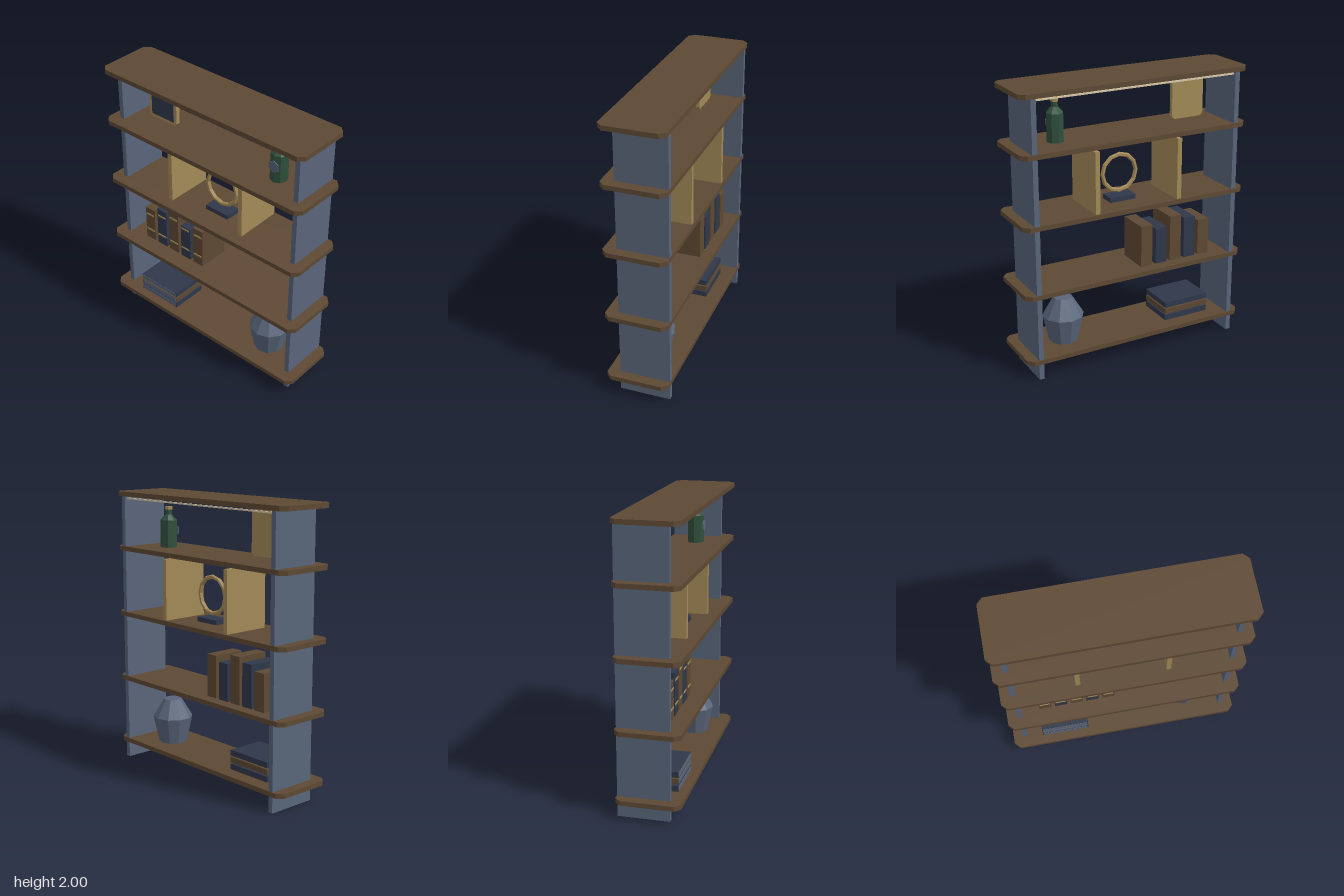
import * as THREE from 'three';

const mat = (name, color) => {
  const m = new THREE.MeshStandardMaterial({ color });
  m.name = name;
  return m;
};

export function createModel() {
  const wood = mat('walnut wood', 0x5e4934);
  const slate = mat('slate blue', 0x59657a);
  const navy = mat('dark navy', 0x2f374a);
  const brass = mat('brass', 0xa38a57);
  const green = mat('bottle green', 0x2f4f3c);
  const cream = mat('warm light', 0xd8c8a8);

  const root = new THREE.Group();
  root.name = 'shelvingUnit';

  const group = (name, parent = root) => {
    const g = new THREE.Group();
    g.name = name;
    parent.add(g);
    return g;
  };
  const add = (name, geo, material, parent = root) => {
    const m = new THREE.Mesh(geo, material);
    m.name = name;
    parent.add(m);
    return m;
  };
  // box given by its limits on each axis
  const box = (name, material, [x0, x1], [y0, y1], [z0, z1], parent) => {
    const m = add(name, new THREE.BoxGeometry(x1 - x0, y1 - y0, z1 - z0), material, parent);
    m.position.set((x0 + x1) / 2, (y0 + y1) / 2, (z0 + z1) / 2);
    return m;
  };
  // rectangle with cut corners, extruded along +z
  const cutSlab = (w, h, cut, depth) => {
    const a = w / 2, b = h / 2;
    const pts = [[a - cut, -b], [a, -b + cut], [a, b - cut], [a - cut, b],
      [-a + cut, b], [-a, b - cut], [-a, -b + cut], [-a + cut, -b]];
    const shape = new THREE.Shape(pts.map(([x, y]) => new THREE.Vector2(x, y)));
    return new THREE.ExtrudeGeometry(shape, { depth, bevelEnabled: false });
  };
  // faceted turned form from [radius, height] points
  const turned = (profile, sides) => {
    const geo = new THREE.LatheGeometry(profile.map(([r, y]) => new THREE.Vector2(r, y)), sides).toNonIndexed();
    geo.computeVertexNormals();
    return geo;
  };

  // shelves with cut corners
  const tops = [2, 1.605, 1.12, 0.63, 0.146];
  const shelves = group('shelves');
  for (const top of tops) {
    const s = add('shelf', cutSlab(1.71, 0.446, 0.04, 0.033), wood, shelves);
    s.rotation.x = -Math.PI / 2;
    s.position.y = top - 0.033;
  }

  // upright side panels
  for (const side of [-1, 1]) {
    const p = box(side > 0 ? 'leftPanel' : 'rightPanel', slate, [-0.018, 0.018], [0, 1.97], [-0.22, 0.14]);
    p.position.x = side * 0.765;
  }

  // light strip under the top shelf
  box('lightStrip', cream, [-0.748, 0.748], [1.946, 1.957], [-0.2, -0.188]);

  // framed picture
  const frame = group('pictureFrame');
  frame.position.set(-0.49, 1.79, -0.02);
  add('frameBoard', cutSlab(0.25, 0.31, 0.02, 0.03), brass, frame);
  box('picturePanel', navy, [-0.1, 0.1], [-0.128, 0.128], [0.03, 0.036], frame);

  // bottle with cap and hexagonal label
  const bottle = group('bottle');
  bottle.position.set(0.52, 1.605, 0);
  add('bottleBody', turned([[0, 0], [0.06, 0], [0.06, 0.195], [0.024, 0.235], [0.024, 0.27], [0, 0.27]], 8), green, bottle);
  const cap = add('bottleCap', turned([[0, 0], [0.027, 0], [0.027, 0.022], [0, 0.022]], 8), brass, bottle);
  cap.position.y = 0.27;
  const label = add('bottleLabel', turned([[0, 0], [0.044, 0], [0.044, 0.006], [0, 0.006]], 6), slate, bottle);
  label.rotation.x = Math.PI / 2;
  label.position.set(0, 0.118, 0.058);

  // brass dividers
  for (const side of [-1, 1]) {
    const d = box('divider', brass, [-0.017, 0.017], [1.12, 1.555], [-0.21, 0.14]);
    d.position.x = side * 0.316;
  }

  // ring sculpture on a small base
  const ring = group('ringSculpture');
  ring.position.set(0.042, 1.12, 0);
  box('ringBase', navy, [-0.098, 0.098], [0, 0.033], [-0.058, 0.058], ring);
  const hoop = new THREE.TorusGeometry(0.13, 0.016, 6, 12).toNonIndexed();
  hoop.computeVertexNormals();
  add('ringHoop', hoop, brass, ring).position.y = 0.192;

  // upright books: left edge, top, height of upper band, cover
  const books = group('uprightBooks');
  const rows = [
    [-0.615, 0.895, 0.842, wood], [-0.498, 0.933, 0.878, navy], [-0.382, 0.966, 0.915, wood],
    [-0.265, 0.895, 0.878, navy], [-0.147, 0.933, 0.878, wood]];
  for (const [x, top, band, cover] of rows) {
    box('book', cover, [x, x + 0.09], [0.63, top], [-0.14, 0.1], books);
    for (const y of [0.708, band]) {
      box('spineBand', brass, [x + 0.008, x + 0.082], [y - 0.006, y + 0.006], [0.099, 0.104], books);
    }
  }

  // stack of flat books
  const stack = group('bookStack');
  [navy, wood, navy].forEach((cover, i) => {
    const y = 0.147 + i * 0.05;
    box('flatBook', cover, [-0.63, -0.275], [y, y + 0.04], [-0.12, 0.157], stack);
    box('bookFront', slate, [-0.623, -0.282], [y + 0.004, y + 0.036], [0.156, 0.16], stack);
  });

  // faceted vase
  const vase = add('vase', turned([[0, 0], [0.105, 0], [0.146, 0.192], [0.066, 0.326], [0, 0.326]], 10), slate);
  vase.position.set(0.493, 0.146, 0);

  return root;
}
